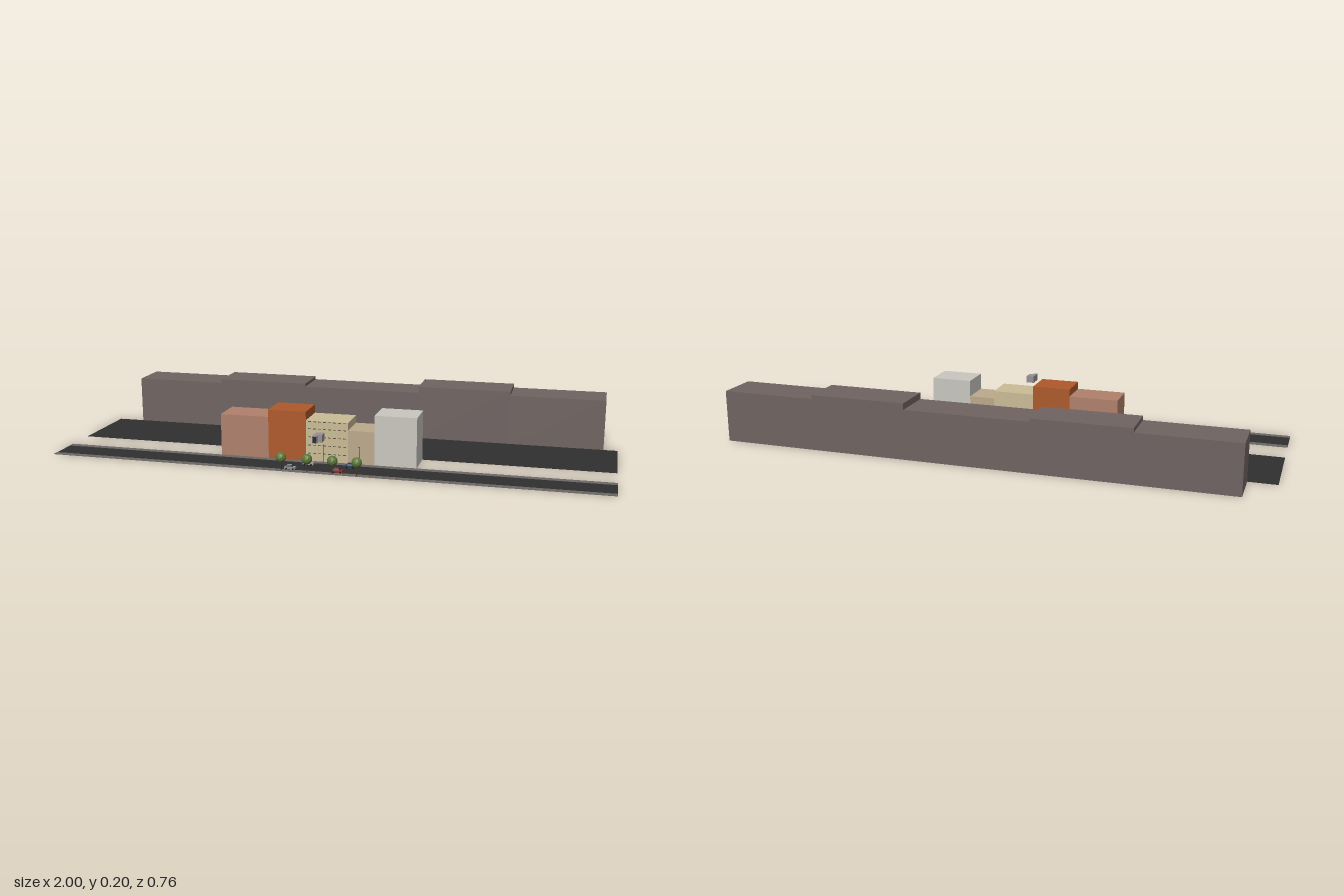
import * as THREE from 'three';

const materials = new Map();
function mat(color) {
  if (!materials.has(color)) materials.set(color, new THREE.MeshStandardMaterial({ color, flatShading: true }));
  return materials.get(color);
}

function add(parent, name, geometry, color, x = 0, y = 0, z = 0) {
  const mesh = new THREE.Mesh(geometry, mat(color));
  mesh.name = name;
  mesh.position.set(x, y, z);
  parent.add(mesh);
  return mesh;
}

// Box given by its extents on each axis
function block(parent, name, color, [x0, x1], [y0, y1], [z0, z1]) {
  return add(parent, name, new THREE.BoxGeometry(x1 - x0, y1 - y0, z1 - z0), color,
    (x0 + x1) / 2, (y0 + y1) / 2, (z0 + z1) / 2);
}

function group(parent, name, x = 0, z = 0) {
  const g = new THREE.Group();
  g.name = name;
  g.position.set(x, 0, z);
  parent.add(g);
  return g;
}

function tree(parent, x) {
  const g = group(parent, 'tree', x, 0.315);
  add(g, 'trunk', new THREE.CylinderGeometry(0.0015, 0.002, 0.034, 6), 0x4a3626, 0, 0.017);
  add(g, 'foliage', new THREE.IcosahedronGeometry(0.019, 1), 0x5b7638, 0, 0.048);
}

function car(parent, x, z, color) {
  const g = group(parent, 'car', x, z);
  block(g, 'carBody', color, [-0.019, 0.019], [0.003, 0.0105], [-0.01, 0.01]);
  // Cabin narrows towards the roof
  const cabin = new THREE.CylinderGeometry(0.72, 1, 1, 4, 1).rotateY(Math.PI / 4);
  cabin.scale(0.0155, 0.0065, 0.0125);
  add(g, 'cabin', cabin, 0x2a3138, -0.002, 0.0137);
  block(g, 'roof', color, [-0.0098, 0.0058], [0.0165, 0.0175], [-0.0062, 0.0062]);
  for (const wx of [-0.012, 0.012]) for (const wz of [-0.0092, 0.0092]) {
    const wheel = new THREE.CylinderGeometry(0.0035, 0.0035, 0.003, 10).rotateX(Math.PI / 2);
    add(g, 'wheel', wheel, 0x151515, wx, 0.0037, wz);
  }
}

function lamp(parent, x) {
  const g = group(parent, 'streetLamp', x, 0.203);
  add(g, 'lampPole', new THREE.CylinderGeometry(0.0008, 0.001, 0.072, 6), 0x3b3e42, 0, 0.036);
  block(g, 'lampArm', 0x3b3e42, [-0.0008, 0.0008], [0.0705, 0.072], [0, 0.014]);
  block(g, 'lampHead', 0xd8d2b0, [-0.0015, 0.0015], [0.0693, 0.0707], [0.009, 0.0145]);
}

export function createModel() {
  const model = new THREE.Group();
  model.name = 'streetBlock';

  // Ground strips
  const full = [-1, 1];
  block(model, 'rearRoad', 0x2f2f31, full, [0, 0.001], [-0.23, 0.06]);
  block(model, 'street', 0x2f2f31, full, [0, 0.001], [0.2, 0.3]);
  block(model, 'innerSidewalk', 0x6b6865, full, [0, 0.002], [0.18, 0.203]);
  block(model, 'outerSidewalk', 0x6b6865, full, [0, 0.002], [0.3, 0.322]);

  // Long rear row: x edges with the height of each section
  const rearEdges = [-0.9, -0.55, -0.2, 0.25, 0.6, 0.95];
  [0.177, 0.192, 0.18, 0.203, 0.188].forEach((h, i) =>
    block(model, 'rearBuilding', 0x6f6361, [rearEdges[i], rearEdges[i + 1]], [0, h], [-0.38, -0.23]));

  // Middle row of coloured buildings
  const edges = [-0.4, -0.22, -0.08, 0.075, 0.17, 0.32];
  const houses = [[0.154, 0xb0806c], [0.181, 0xae5a2a], [0.15, 0xcabc96], [0.122, 0xbda98c], [0.182, 0xc9c7bf]];
  houses.forEach(([h, color], i) =>
    block(model, 'building', color, [edges[i], edges[i + 1]], [0, h], [0.06, 0.18]));

  // Small window ledges on the cream facade
  for (const y of [0.03, 0.06, 0.09, 0.12, 0.146]) {
    for (let i = 0; i < 8; i++) {
      const x = -0.066 + i * 0.0183;
      block(model, 'windowLedge', 0x5d5546, [x - 0.005, x + 0.005], [y, y + 0.002], [0.179, 0.183]);
    }
  }

  // Street furniture and traffic
  for (const x of [-0.132, -0.038, 0.052, 0.138]) tree(model, x);
  for (const x of [-0.01, 0.12]) lamp(model, x);
  car(model, -0.105, 0.292, 0x8a8d90);
  car(model, 0.065, 0.292, 0x8f2a28);
  car(model, -0.058, 0.226, 0x9a9da0);
  car(model, 0.095, 0.226, 0x27405e);

  // Floating stepped box above the street
  const floating = group(model, 'floatingBox');
  block(floating, 'longHalf', 0x969094, [0, 0.014], [0.123, 0.149], [0.327, 0.379]);
  block(floating, 'shortHalf', 0x969094, [0.014, 0.029], [0.123, 0.149], [0.327, 0.362]);
  block(floating, 'darkFront', 0x2a2a2c, [0.001, 0.013], [0.125, 0.147], [0.378, 0.3795]);

  return model;
}
